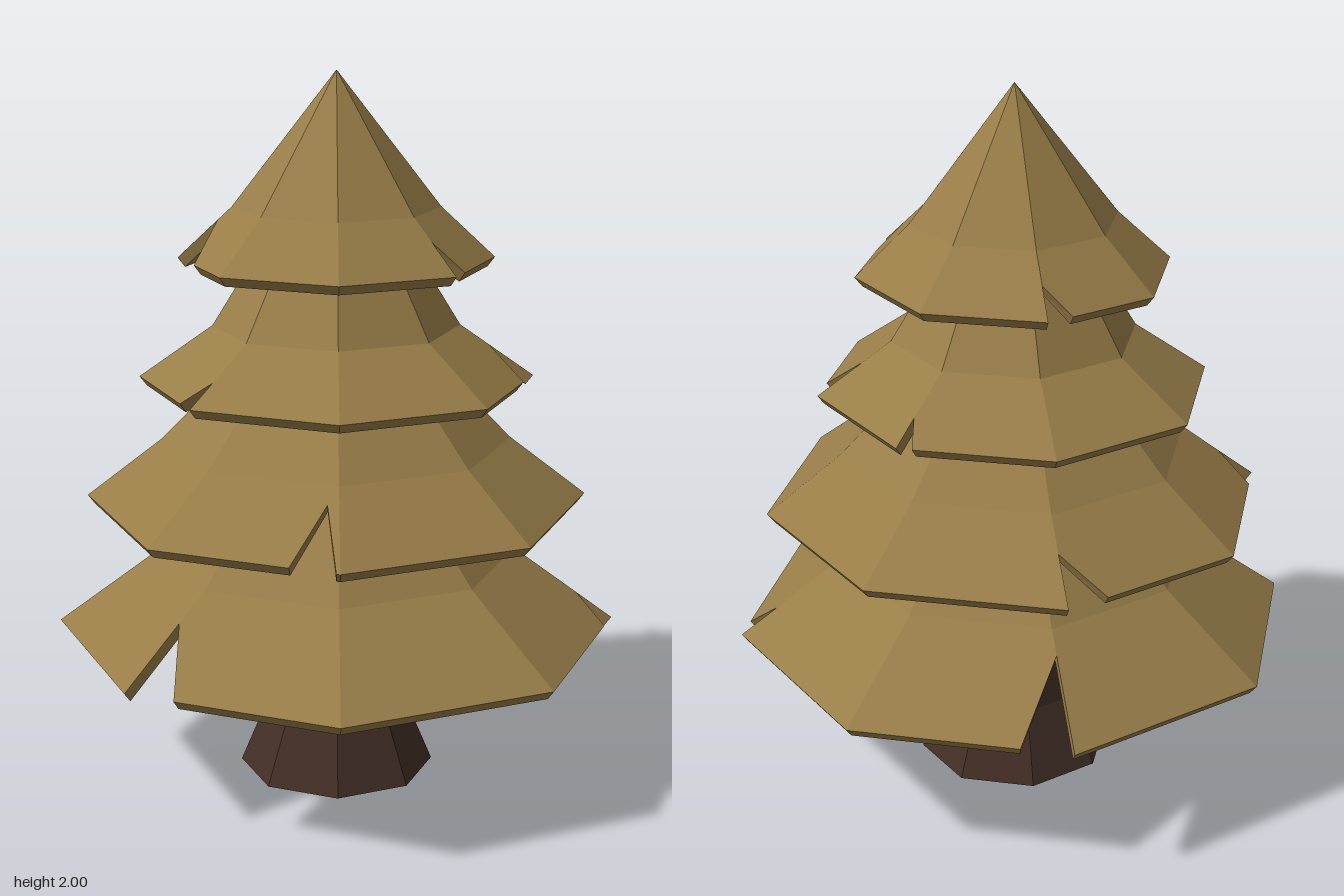
import * as THREE from 'three';

const SIDES = 8;
const leafMat = new THREE.MeshStandardMaterial({ color: 0x987d48, flatShading: true });
leafMat.name = 'foliage ochre';
const barkMat = new THREE.MeshStandardMaterial({ color: 0x432f26, flatShading: true });
barkMat.name = 'dark bark';

// Each tier: [radius, height] of rim, kink and peak, plus its notches.
// Notch: face number, which ridge it starts from, width along the rim, tip radius,
// and optionally how far the tip and near corner sit from the ridge.
const tiers = [
  { rim: [0.795, 0.435], kink: [0.508, 0.647], peak: 1.2, notches: [
    { face: 1, atEnd: true, width: 0.13, tip: 0.69 },
    { face: 7, atEnd: false, width: 0.235, tip: 0.6 },
    { face: 3, atEnd: true, width: 0.235, tip: 0.57 }] },
  { rim: [0.705, 0.81], kink: [0.49, 0.976], peak: 1.48, notches: [
    { face: 7, atEnd: true, width: 0.26, tip: 0.54, tipShift: 0.08, near: 0.02 },
    { face: 4, atEnd: false, width: 0.23, tip: 0.58 },
    { face: 5, atEnd: true, width: 0.15, tip: 0.6 }] },
  { rim: [0.55, 1.155], kink: [0.344, 1.3], peak: 1.86, notches: [
    { face: 3, atEnd: false, width: 0.1, tip: 0.47 },
    { face: 1, atEnd: true, width: 0.22, tip: 0.425 },
    { face: 6, atEnd: true, width: 0.18, tip: 0.467 }] },
  { rim: [0.437, 1.49], kink: [0.287, 1.63], peak: 2, notches: [
    { face: 4, atEnd: false, width: 0.23, tip: 0.36 },
    { face: 6, atEnd: false, width: 0.4, tip: 0.325 },
    { face: 1, atEnd: false, width: 0.21, tip: 0.35 }] },
];

function ridgePoint(index, [r, y]) {
  const a = (index / SIDES) * Math.PI * 2;
  return new THREE.Vector3(Math.sin(a) * r, y, Math.cos(a) * r);
}

// Lower edge of one face in (u along the rim, t from rim to kink)
function edgePath(tier, notch) {
  if (!notch) return [[0, 0], [0.3, 0], [0.5, 0], [0.7, 0], [1, 0]];
  const t = (tier.rim[0] - notch.tip) / (tier.rim[0] - tier.kink[0]);
  const path = [[0, 0], [notch.near || 0, 0], [notch.tipShift || 0, t], [notch.width, 0], [1, 0]];
  return notch.atEnd ? path.map(([u, v]) => [1 - u, v]).reverse() : path;
}

// Hollow eight-sided skirt with a bent slope and triangular cuts in its rim
function tierGeometry(tier) {
  const positions = [];
  const tri = (a, b, c) => {
    const area = b.clone().sub(a).cross(c.clone().sub(a)).length();
    if (area > 1e-7) for (const p of [a, b, c]) positions.push(p.x, p.y, p.z);
  };
  const outer = { rim: tier.rim, kink: tier.kink, peak: tier.peak };
  const inner = {
    rim: [tier.rim[0] - 0.02, tier.rim[1] - 0.026],
    kink: [tier.kink[0] - 0.021, tier.kink[1] - 0.024],
    peak: tier.peak - 0.045,
  };
  for (let f = 0; f < SIDES; f++) {
    const path = edgePath(tier, tier.notches.find((n) => n.face === f));
    const edges = [outer, inner].map((skin, i) => {
      const at = ([u, t]) => ridgePoint(f, skin.rim).lerp(ridgePoint(f, skin.kink), t)
        .lerp(ridgePoint(f + 1, skin.rim).lerp(ridgePoint(f + 1, skin.kink), t), u);
      const face = i === 0 ? tri : (a, b, c) => tri(a, c, b);
      const p = path.map(at);
      const k0 = at([0, 1]);
      const k1 = at([1, 1]);
      face(p[0], p[1], k0);
      face(p[1], p[2], k0);
      face(p[2], k1, k0);
      face(p[2], p[3], k1);
      face(p[3], p[4], k1);
      face(k0, k1, new THREE.Vector3(0, skin.peak, 0));
      return p;
    });
    // rim and notch walls
    const [o, n] = edges;
    for (let i = 0; i < 4; i++) {
      tri(n[i], n[i + 1], o[i + 1]);
      tri(n[i], o[i + 1], o[i]);
    }
  }
  const geo = new THREE.BufferGeometry();
  geo.setAttribute('position', new THREE.Float32BufferAttribute(positions, 3));
  geo.computeVertexNormals();
  return geo;
}

// Eight-sided trunk with a flared foot
function trunkGeometry() {
  const profile = [[0, 0], [0.278, 0], [0.195, 0.2], [0.175, 0.42], [0.15, 0.85], [0, 0.85]];
  const geo = new THREE.LatheGeometry(profile.map(([r, y]) => new THREE.Vector2(r, y)), SIDES).toNonIndexed();
  const pos = geo.attributes.position;
  // slight lean toward the front above the flare
  for (let i = 0; i < pos.count; i++) {
    if (pos.getY(i) > 0.3) pos.setZ(i, pos.getZ(i) + 0.012);
  }
  geo.computeVertexNormals();
  return geo;
}

export function createModel() {
  const tree = new THREE.Group();
  tree.name = 'pineTree';

  const trunk = new THREE.Mesh(trunkGeometry(), barkMat);
  trunk.name = 'trunk';
  tree.add(trunk);

  tiers.forEach((tier, i) => {
    const mesh = new THREE.Mesh(tierGeometry(tier), leafMat);
    mesh.name = `foliageTier${i + 1}`;
    tree.add(mesh);
  });
  return tree;
}
